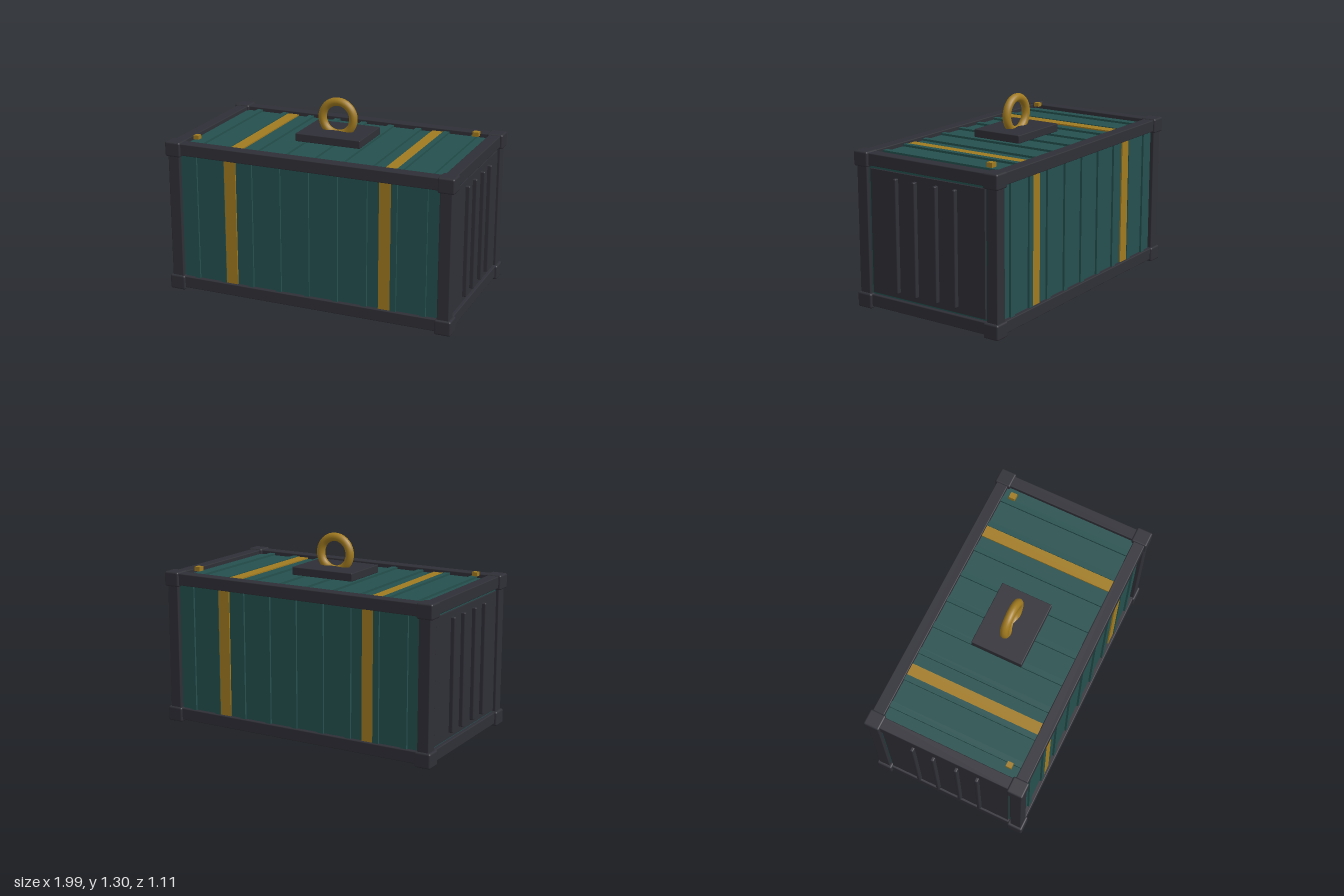
import * as THREE from 'three';
import { RoundedBoxGeometry } from 'three/addons/geometries/RoundedBoxGeometry.js';

const paint = (name, color) => {
  const m = new THREE.MeshStandardMaterial({ color });
  m.name = name;
  return m;
};

export function createModel() {
  const teal = paint('teal panel', 0x24504e);
  const dark = paint('dark steel', 0x2f2f37);
  const gold = paint('gold', 0xa07a20);
  const root = new THREE.Group();
  root.name = 'cargoContainer';

  const add = (name, geometry, material, x, y, z) => {
    const mesh = new THREE.Mesh(geometry, material);
    mesh.name = name;
    mesh.position.set(x, y, z);
    root.add(mesh);
    return mesh;
  };
  const box = (name, material, w, h, d, x, y, z) =>
    add(name, new THREE.BoxGeometry(w, h, d), material, x, y, z);
  const rounded = (name, material, w, h, d, r, x, y, z) =>
    add(name, new RoundedBoxGeometry(w, h, d, 2, r), material, x, y, z);

  const midY = 0.523, halfH = 0.478, halfD = 0.515;

  // Body, with ribs and painted bands that wrap around all four long faces
  box('body', teal, 1.91, halfH * 2, halfD * 2, 0, midY, 0);
  const wrap = (name, material, width, x, out) =>
    box(name, material, width, 2 * (halfH + out), 2 * (halfD + out), x, midY, 0);
  for (let i = -4; i <= 4; i++) wrap('rib', teal, 0.04, i * 0.2, 0.014);
  for (const s of [-1, 1]) wrap('band', gold, 0.082, s * 0.54, 0.009);

  // Frame: rails, posts and corner castings
  const levels = [0.056, 0.989];
  for (const sx of [-1, 1]) {
    for (const y of levels) rounded('endRail', dark, 0.08, 0.08, 0.96, 0.006, sx * 0.94, y, 0);
    for (const sz of [-1, 1]) {
      rounded('post', dark, 0.08, 0.9, 0.08, 0.006, sx * 0.94, midY, sz * 0.502);
      for (const y of [0.05, 0.987])
        rounded('cornerCasting', dark, 0.11, 0.1, 0.11, 0.012, sx * 0.942, y, sz * 0.5);
    }
  }
  for (const sz of [-1, 1])
    for (const y of levels) rounded('longRail', dark, 1.84, 0.08, 0.08, 0.006, 0, y, sz * 0.502);

  // End doors with vertical bars
  for (const s of [-1, 1]) {
    box('door', dark, 0.03, 0.82, 0.884, s * 0.953, 0.52, 0);
    for (const z of [0.23, 0.083, -0.08, -0.226])
      rounded('doorBar', dark, 0.04, 0.75, 0.024, 0.008, s * 0.976, 0.52, z);
  }

  // Lifting plate and ring
  rounded('liftingPlate', dark, 0.456, 0.054, 0.356, 0.005, 0, 1.053, 0);
  add('liftingRing', new THREE.TorusGeometry(0.11, 0.028, 14, 40), gold, 0, 1.164, 0);

  // Small roof markers on opposite corners
  box('roofMarker', gold, 0.036, 0.027, 0.038, -0.84, 1.043, 0.393);
  box('roofMarker', gold, 0.042, 0.03, 0.043, 0.83, 1.044, -0.393);

  return root;
}
